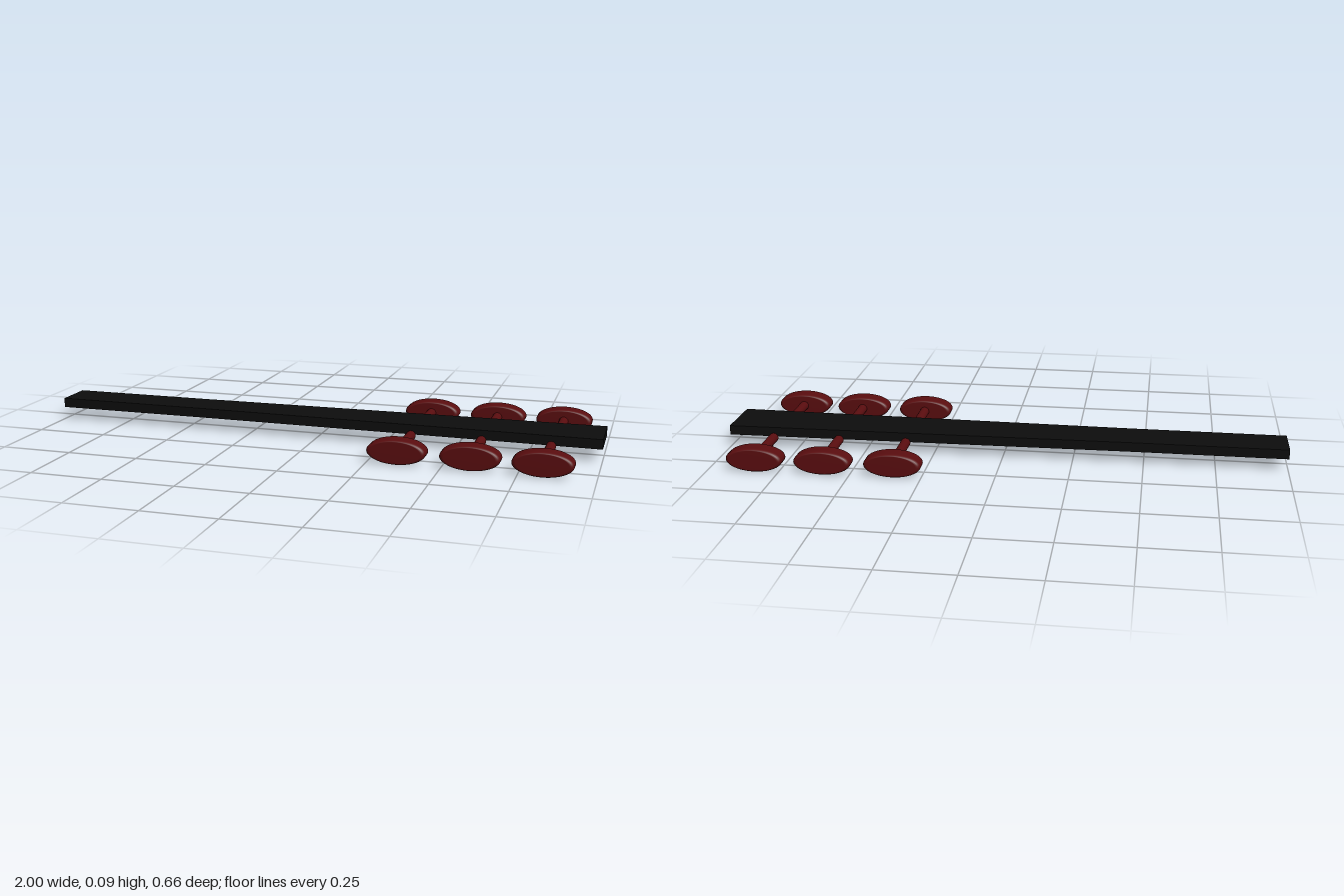
import * as THREE from 'three';

const black = new THREE.MeshStandardMaterial({ color: 0x0d0d0d });
const red = new THREE.MeshStandardMaterial({ color: 0x5a0d0f });

const AXIS_Y = 0.0425; // height of the peg axes

// Flat board, straight at the narrow end and widening towards +x
function makeBoard() {
  const shape = new THREE.Shape([
    [-1, -0.072], [-0.45, -0.073], [1, -0.094],
    [1, 0.094], [-0.45, 0.073], [-1, 0.072],
  ].map(([x, z]) => new THREE.Vector2(x, z)));
  const geometry = new THREE.ExtrudeGeometry(shape, { depth: 0.034, bevelEnabled: false });
  geometry.rotateX(-Math.PI / 2).translate(0, 0.045, 0);
  const board = new THREE.Mesh(geometry, black);
  board.name = 'board';
  return board;
}

// Oval disc with a rounded rim, its axis along z
function makeKnobGeometry() {
  const radius = 0.1, half = 0.034, round = 0.015, steps = 5;
  const rim = [];
  for (let i = 0; i <= steps; i++) {
    const a = (i / steps) * Math.PI / 2;
    rim.push([radius - round + round * Math.sin(a), half - round + round * Math.cos(a)]);
  }
  const profile = [
    new THREE.Vector2(0, -half),
    ...rim.map(([r, y]) => new THREE.Vector2(r, -y)),
    ...rim.reverse().map(([r, y]) => new THREE.Vector2(r, y)),
    new THREE.Vector2(0, half),
  ];
  return new THREE.LatheGeometry(profile, 48).rotateX(Math.PI / 2).scale(1, 0.425, 1);
}

// Shaft running outwards from the board, with an oval knob on its end
function makePeg(knobGeometry, x, inner, knobZ) {
  const peg = new THREE.Group();
  peg.name = 'tuningPeg';
  const length = Math.abs(knobZ - inner);
  const shaft = new THREE.Mesh(
    new THREE.CylinderGeometry(0.017, 0.017, length, 24).rotateX(Math.PI / 2), red);
  shaft.name = 'pegShaft';
  shaft.position.z = (inner + knobZ) / 2;
  const knob = new THREE.Mesh(knobGeometry, red);
  knob.name = 'pegKnob';
  knob.position.z = knobZ;
  peg.add(shaft, knob);
  peg.position.set(x, AXIS_Y, 0);
  return peg;
}

export function createModel() {
  const model = new THREE.Group();
  model.name = 'neckWithPegs';
  model.add(makeBoard());

  // Three pegs on each side: x, inner end of shaft, knob centre
  const knobGeometry = makeKnobGeometry();
  const pegs = [
    [0.35, 0.09, 0.294], [0.595, 0.09, 0.294], [0.83, 0.092, 0.298],
    [0.35, -0.082, -0.286], [0.595, -0.088, -0.293], [0.835, -0.098, -0.298],
  ];
  for (const [x, inner, knobZ] of pegs) model.add(makePeg(knobGeometry, x, inner, knobZ));
  return model;
}
